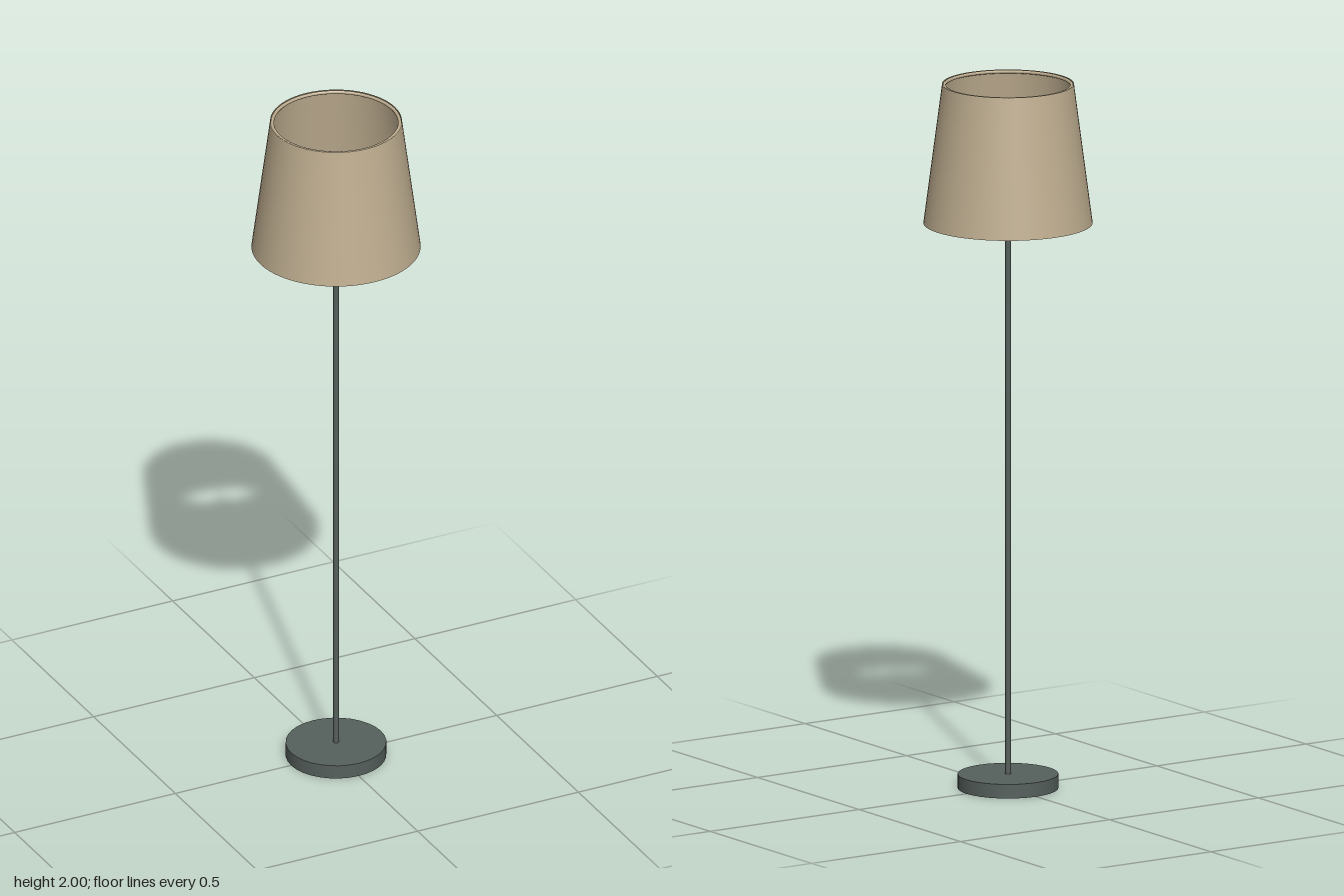
import * as THREE from 'three';

export function createModel() {
  const model = new THREE.Group();
  model.name = 'floorLamp';

  const material = (name, color, side = THREE.FrontSide) =>
    Object.assign(new THREE.MeshStandardMaterial({ color, side }), { name });
  const metal = material('dark metal', 0x56605d);
  const linen = material('beige linen', 0xbfae90, THREE.DoubleSide);
  const glass = material('bulb white', 0xe4dfd4);

  const add = (name, geometry, mat, y) => {
    const mesh = new THREE.Mesh(geometry, mat);
    mesh.name = name;
    mesh.position.y = y;
    model.add(mesh);
    return mesh;
  };
  const rod = (radius, length, sides = 16) => new THREE.CylinderGeometry(radius, radius, length, sides);

  // Base, pole and lamp holder
  add('base', rod(0.14, 0.04, 32), metal, 0.02);
  add('pole', rod(0.008, 1.6), metal, 0.83);
  add('socket', rod(0.012, 0.13), metal, 1.68);
  add('bulb', new THREE.SphereGeometry(0.032, 32, 20), glass, 1.77);

  // Open tapered shade with rolled rims just inside its edges
  const bottomY = 1.605, topY = 2, bottomR = 0.235, topR = 0.183;
  add('shade', new THREE.CylinderGeometry(topR, bottomR, topY - bottomY, 64, 1, true), linen, (topY + bottomY) / 2);
  for (const [name, radius, y] of [['topRim', topR - 0.006, topY - 0.005], ['bottomRim', bottomR - 0.006, bottomY + 0.005]]) {
    add(name, new THREE.TorusGeometry(radius, 0.005, 8, 64).rotateX(Math.PI / 2), linen, y);
  }

  // Three spokes carrying the shade
  const spokeLength = 0.228;
  for (let i = 0; i < 3; i++) {
    const geometry = rod(0.002, spokeLength, 8).rotateZ(Math.PI / 2).translate(spokeLength / 2, 0, 0);
    add('spoke' + (i + 1), geometry, metal, 1.62).rotation.y = (i * Math.PI * 2) / 3;
  }

  return model;
}
